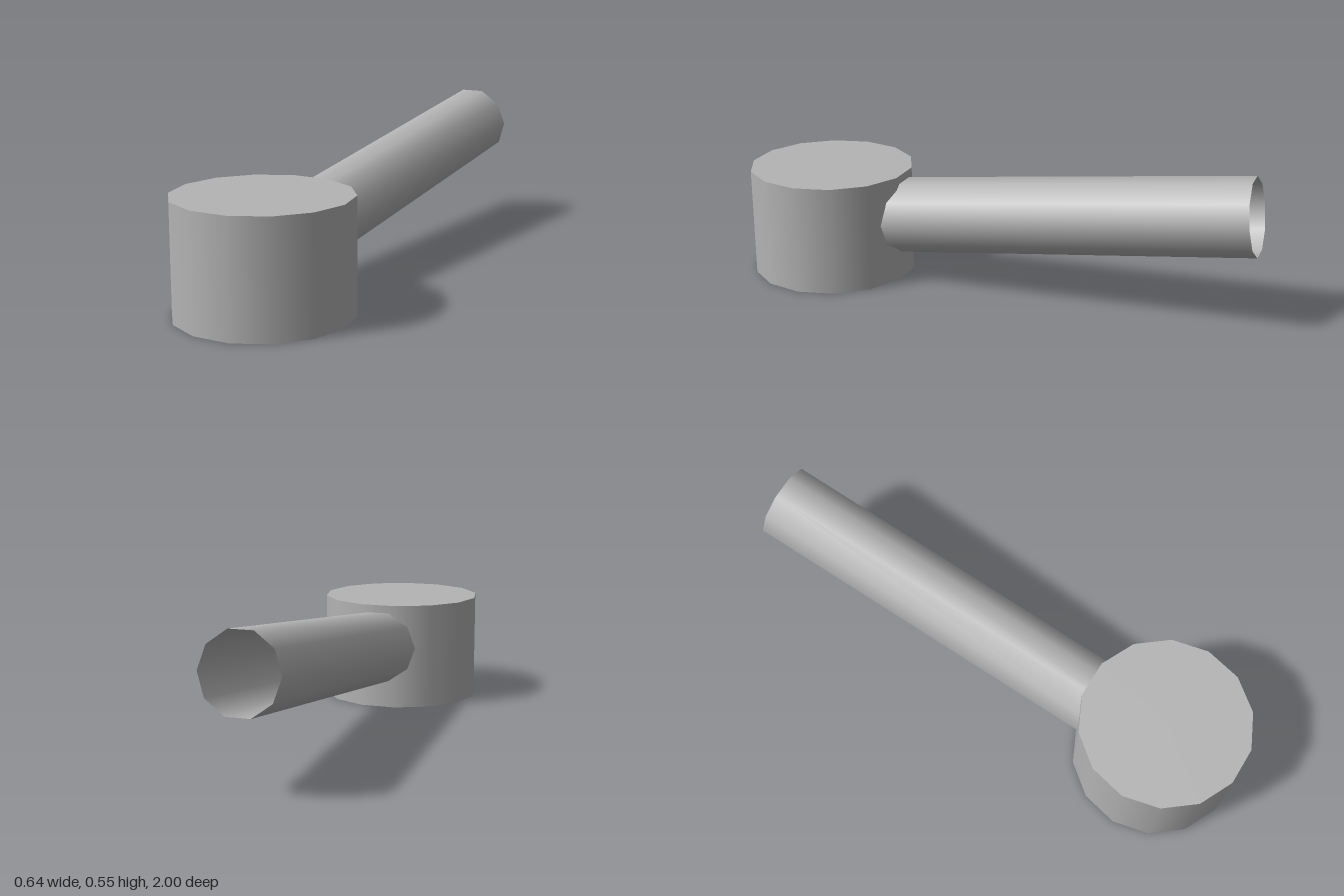
import * as THREE from 'three';

export function createModel() {
  const group = new THREE.Group();
  const grey = new THREE.MeshStandardMaterial({ color: 0xb4b4b4, side: THREE.DoubleSide });
  grey.name = 'grey';

  // Closed 14-sided drum with a flat side facing front and back
  const height = 0.418, drumZ = 0.69;
  const drum = new THREE.Mesh(
    new THREE.CylinderGeometry(0.318, 0.318, height, 14, 1, false, Math.PI / 14), grey);
  drum.name = 'drum';
  drum.position.set(0, height / 2, drumZ);
  group.add(drum);

  // Open 10-sided tube rising gently backwards from the middle of the drum
  const start = new THREE.Vector3(0, height / 2, drumZ);
  const end = new THREE.Vector3(0, 0.416, -0.983);
  const axis = end.clone().sub(start);
  const tube = new THREE.Mesh(
    new THREE.CylinderGeometry(0.145, 0.145, axis.length(), 10, 1, true, Math.PI / 10), grey);
  tube.name = 'handleTube';
  tube.position.copy(start).lerp(end, 0.5);
  tube.quaternion.setFromUnitVectors(new THREE.Vector3(0, 1, 0), axis.normalize());
  group.add(tube);

  return group;
}
